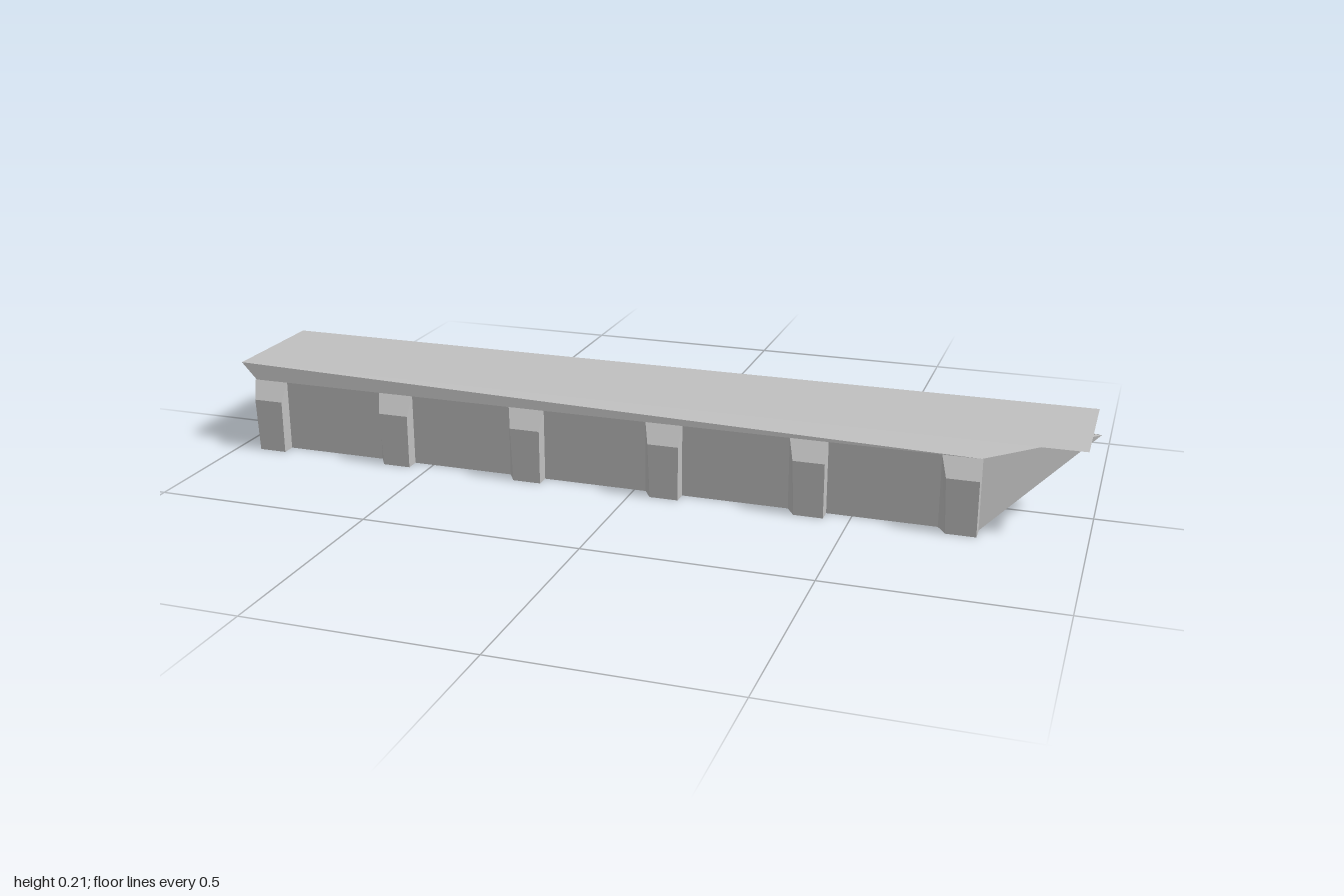
import * as THREE from 'three';

const steel = new THREE.MeshStandardMaterial({ color: 0xc0c0c0, side: THREE.DoubleSide, flatShading: true });
steel.name = 'pale grey';

// Flat-shaded mesh from polygons, each fanned into triangles
function facets(name, polygons) {
  const points = [];
  for (const p of polygons) {
    for (let i = 1; i < p.length - 1; i++) points.push(...p[0], ...p[i], ...p[i + 1]);
  }
  const geometry = new THREE.BufferGeometry();
  geometry.setAttribute('position', new THREE.Float32BufferAttribute(points, 3));
  geometry.computeVertexNormals();
  const mesh = new THREE.Mesh(geometry, steel);
  mesh.name = name;
  return mesh;
}

// Six-sided block: four inner corners and four outer corners in the same order
function block(name, inner, outer) {
  const faces = [outer, [...inner].reverse()];
  for (let i = 0; i < 4; i++) {
    const j = (i + 1) % 4;
    faces.push([inner[i], inner[j], outer[j], outer[i]]);
  }
  return facets(name, faces);
}

export function createModel() {
  const model = new THREE.Group();
  model.name = 'barge';

  const bow = [1, 0.186, -0.02];
  const sternPoint = [-1, 0.03, -0.02];
  const back = -0.96, front = 0.77, half = 0.15, knuckle = 0.165, deckY = 0.203, deckZ = 0.145;

  // Hull sides, bow cheeks and stern cheeks
  for (const s of [1, -1]) {
    const z = s * half;
    const lowBack = [back, 0, z], lowFront = [front, 0, z];
    const highBack = [back, knuckle, z], highFront = [front, knuckle, z];
    const rim = [-1, deckY, s * deckZ];
    const polygons = [
      [lowBack, lowFront, highFront, highBack],
      [highBack, highFront, rim],
      [rim, highFront, bow],
      [lowFront, bow, highFront],
      [sternPoint, lowBack, highBack],
      [sternPoint, highBack, rim],
    ];
    if (s < 0) polygons.forEach((p) => p.reverse());
    model.add(facets(s > 0 ? 'frontHullSide' : 'backHullSide', polygons));
  }

  // Flat bottom with the raked bow and stern plates
  model.add(facets('hullBottom', [
    [[back, 0, -half], [front, 0, -half], [front, 0, half], [back, 0, half]],
    [[front, 0, half], [front, 0, -half], bow],
    [[back, 0, -half], [back, 0, half], sternPoint],
  ]));

  // Thin overhanging deck
  model.add(facets('deck', [
    [[-1, deckY, deckZ], [0.985, deckY, deckZ], [0.985, deckY, -deckZ], [-1, deckY, -deckZ]],
  ]));

  // Deck hatches with clipped corners
  const hatchShape = new THREE.Shape([
    [-0.07, -0.01], [-0.06, -0.02], [0.06, -0.02], [0.07, -0.01],
    [0.07, 0.01], [0.06, 0.02], [-0.06, 0.02], [-0.07, 0.01],
  ].map(([x, y]) => new THREE.Vector2(x, y)));
  const hatchGeometry = new THREE.ShapeGeometry(hatchShape).rotateX(-Math.PI / 2);
  for (let i = 0; i < 4; i++) {
    const hatch = new THREE.Mesh(hatchGeometry, steel);
    hatch.name = 'hatch';
    hatch.position.set(-0.75 + i * 0.497, 0.206, 0);
    model.add(hatch);
  }

  // Tapered ribs along both sides
  for (let i = 0; i < 6; i++) {
    const l = -0.963 + i * 0.33, r = l + 0.086;
    model.add(block('frontRib',
      [[l, 0, half], [r, 0, half], [r, knuckle, half], [l, knuckle, half]],
      [[l + 0.02, 0, 0.182], [r, 0, 0.182], [r, 0.125, 0.182], [l + 0.015, 0.125, 0.182]]));
    model.add(block('backRib',
      [[r, 0, -half], [l, 0, -half], [l, knuckle, -half], [r, knuckle, -half]],
      [[r - 0.02, 0, -0.182], [l, 0, -0.182], [l, knuckle, -0.182], [r, knuckle, -0.182]]));
  }

  return model;
}
